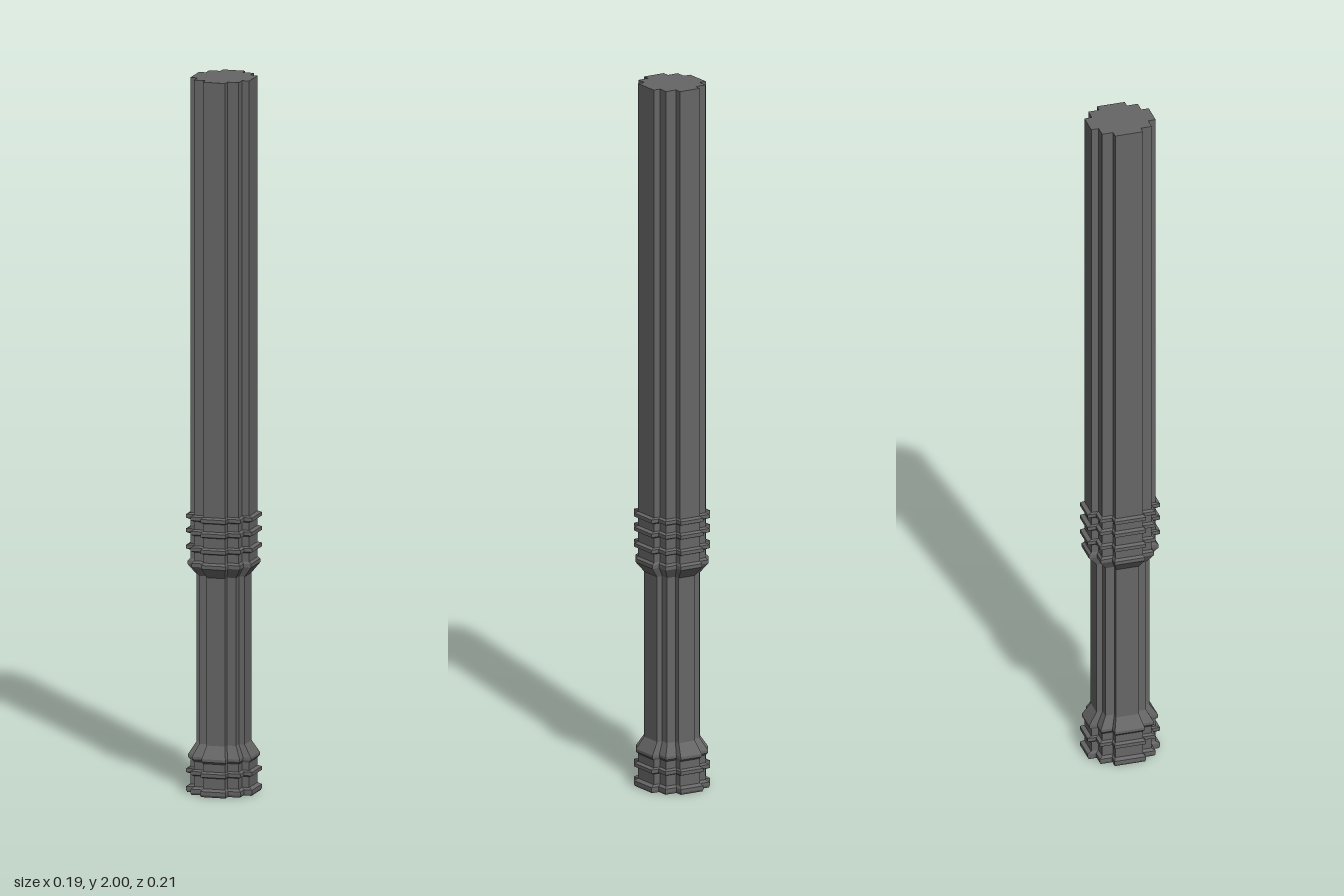
import * as THREE from 'three';

// One quarter of the stepped plan [x, z] at full (moulding) size
const QUARTER = [[0.095, 0.045], [0.072, 0.045], [0.072, 0.08], [0.036, 0.08], [0.036, 0.104]];

// Mirror the quarter into a closed outline, turning from +x towards +z
function outline() {
  const back = [...QUARTER].reverse();
  return [
    ...QUARTER,
    ...back.map(([x, z]) => [-x, z]),
    ...QUARTER.map(([x, z]) => [-x, -z]),
    ...back.map(([x, z]) => [x, -z]),
  ];
}

// Loft the outline through [scale, height] rings; a scale of 0 closes an end
function loft(name, rings, material) {
  const plan = outline();
  const positions = [];
  const point = ([s, y], i) => {
    const [x, z] = plan[i % plan.length];
    return [x * s, y, z * s];
  };
  for (let r = 0; r < rings.length - 1; r++) {
    const [low, high] = [rings[r], rings[r + 1]];
    for (let i = 0; i < plan.length; i++) {
      const a = point(low, i), b = point(low, i + 1);
      const c = point(high, i + 1), d = point(high, i);
      if (high[0] > 0) positions.push(...a, ...d, ...c);
      if (low[0] > 0) positions.push(...a, ...c, ...b);
    }
  }
  const geometry = new THREE.BufferGeometry();
  geometry.setAttribute('position', new THREE.Float32BufferAttribute(positions, 3));
  geometry.computeVertexNormals();
  const mesh = new THREE.Mesh(geometry, material);
  mesh.name = name;
  return mesh;
}

// A thin projecting band between two heights, with bevelled edges
const band = (y0, y1, inner = 0.89) => [
  [inner, y0 - 0.004], [1, y0], [1, y1], [inner, y1 + 0.004],
];

export function createModel() {
  const group = new THREE.Group();
  group.name = 'column';
  const stone = new THREE.MeshStandardMaterial({ color: 0x666666, flatShading: true });

  // Foot with its mouldings, tapering into the slim shaft
  group.add(loft('base', [
    [0, 0], [0.97, 0], [1, 0.006], [1, 0.016], [0.89, 0.022],
    ...band(0.056, 0.066),
    [0.89, 0.092], [0.95, 0.098], [0.95, 0.106], [0.73, 0.14],
  ], stone));

  group.add(loft('lowerShaft', [[0.73, 0.14], [0.73, 0.61]], stone));

  // Flared collar with three bands
  group.add(loft('collar', [
    [0.73, 0.61], [0.96, 0.638], [0.96, 0.648], [0.89, 0.654],
    ...band(0.682, 0.692),
    ...band(0.728, 0.738),
    ...band(0.768, 0.778),
  ], stone));

  group.add(loft('upperShaft', [[0.89, 0.782], [0.89, 2], [0, 2]], stone));
  return group;
}
